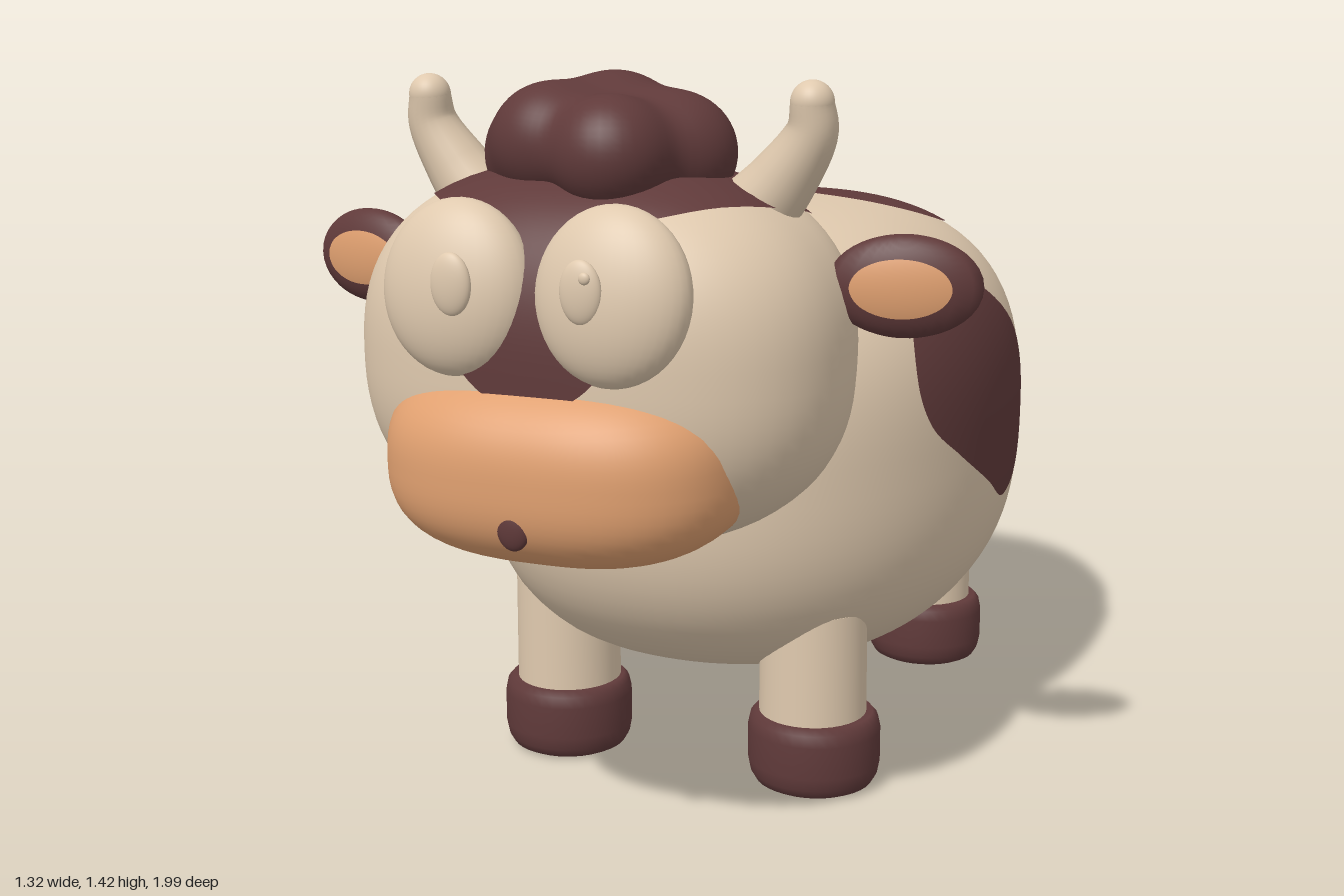
import * as THREE from 'three';

const V = (x, y, z) => new THREE.Vector3(x, y, z);
const X = V(1, 0, 0), Y = V(0, 1, 0), Z = V(0, 0, 1);
const paint = (name, color) => {
  const m = new THREE.MeshStandardMaterial({ color });
  m.name = name;
  return m;
};

// Rounded forms as rules: negative inside, positive outside
const pw = (v, n) => Math.pow(Math.abs(v), n);
const bodyRule = (p) => {
  const girth = pw(p.x / 0.545, 2.2) + pw((p.z + 0.16) / 0.71, 2.2);
  return pw(girth, 2.75 / 2.2) + pw((p.y - 0.65) / 0.48, 2.75) - 1;
};
const headRule = (p) => {
  const y = p.y - 0.925, z = p.z - 0.6;
  const depth = z > 0 ? 0.32 : 0.285 + 0.25 * y;
  return pw(p.x / 0.448, 2.5) + pw(y / 0.337, 2.5) + pw(z / depth, 2.5) - 1;
};
const snoutRule = (p) => {
  const y = p.y - 0.765 - 0.08 * (0.85 - p.z);
  return pw(p.x / 0.33, 2.7) + pw(y / 0.178, 2.7) + pw((p.z - 0.72) / 0.273, 2.7) - 1;
};
const earRule = (p) => pw(p.x / 0.135, 2) + pw(p.y / 0.09, 2) + pw(p.z / 0.042, 2) - 1;
const curls = [
  [0, 1.3, 0.57, 0.115], [-0.125, 1.27, 0.6, 0.105], [0.13, 1.28, 0.59, 0.105],
  [-0.02, 1.295, 0.5, 0.1], [0.07, 1.285, 0.73, 0.1], [-0.07, 1.3, 0.68, 0.1],
];
const hairRule = (p) =>
  1 - curls.reduce((s, [x, y, z, r]) => {
    const d2 = (p.x - x) ** 2 + (p.y - y) ** 2 + (p.z - z) ** 2;
    return s + Math.exp(-2.2 * (d2 / (r * r) - 1));
  }, 0);

// Point where a ray from inside leaves the form
function cast(rule, origin, dir) {
  let lo = 0, hi = 1.2;
  const p = V();
  for (let i = 0; i < 26; i++) {
    const mid = (lo + hi) / 2;
    p.copy(origin).addScaledVector(dir, mid);
    if (rule(p) < 0) lo = mid; else hi = mid;
  }
  return p.copy(origin).addScaledVector(dir, lo);
}
function normalAt(rule, p) {
  const e = 1e-3;
  const slope = (axis) =>
    rule(p.clone().addScaledVector(axis, e)) - rule(p.clone().addScaledVector(axis, -e));
  return V(slope(X), slope(Y), slope(Z)).normalize();
}

// Closed smooth skin of a form
function skin(rule, center, w = 80, h = 56) {
  const geo = new THREE.SphereGeometry(1, w, h);
  const pos = geo.attributes.position, nor = geo.attributes.normal;
  for (let i = 0; i < pos.count; i++) {
    const p = cast(rule, center, V().fromBufferAttribute(pos, i).normalize());
    const n = normalAt(rule, p);
    pos.setXYZ(i, p.x, p.y, p.z);
    nor.setXYZ(i, n.x, n.y, n.z);
  }
  return geo;
}

// Thin coloured patch: an outline in the plane of u and v, cast along dir onto a form
function patch(rule, origin, u, v, dir, outline) {
  const pts = outline.map(([a, b]) => new THREE.Vector3(a, b, 0));
  const loop = new THREE.CatmullRomCurve3(pts, true).getPoints(64).slice(0, 64);
  const flip = u.clone().cross(v).dot(dir) < 0;
  if (THREE.ShapeUtils.isClockWise(loop) !== flip) loop.reverse();
  const mid = loop.reduce((s, p) => s.add(p), V()).divideScalar(loop.length);
  const rings = 10, n = loop.length, pos = [], nor = [], idx = [];
  for (let r = 0; r <= rings; r++) {
    for (let i = 0; i < n; i++) {
      const q = mid.clone().lerp(loop[i], r / rings);
      const start = origin.clone().addScaledVector(u, q.x).addScaledVector(v, q.y);
      const p = cast(rule, start, dir);
      const normal = normalAt(rule, p);
      p.addScaledVector(normal, 0.004);
      pos.push(p.x, p.y, p.z);
      nor.push(normal.x, normal.y, normal.z);
      if (r === rings) continue;
      const a = r * n + i, b = r * n + ((i + 1) % n);
      idx.push(a, a + n, b + n, a, b + n, b);
    }
  }
  const geo = new THREE.BufferGeometry();
  geo.setAttribute('position', new THREE.Float32BufferAttribute(pos, 3));
  geo.setAttribute('normal', new THREE.Float32BufferAttribute(nor, 3));
  geo.setIndex(idx);
  return geo;
}
const oval = (cx, cy, rx, ry) =>
  Array.from({ length: 12 }, (_, i) => {
    const t = (i / 12) * Math.PI * 2;
    return [cx + rx * Math.cos(t), cy + ry * Math.sin(t)];
  });

// Tube that narrows from r0 to r1
function taper(points, r0, r1) {
  const curve = new THREE.CatmullRomCurve3(points), steps = 28, sides = 20;
  const geo = new THREE.TubeGeometry(curve, steps, 1, sides);
  const pos = geo.attributes.position;
  for (let i = 0; i < pos.count; i++) {
    const t = Math.floor(i / (sides + 1)) / steps, c = curve.getPointAt(t);
    const p = V().fromBufferAttribute(pos, i).sub(c).multiplyScalar(r0 + (r1 - r0) * t).add(c);
    pos.setXYZ(i, p.x, p.y, p.z);
  }
  return geo;
}

export function createModel() {
  const cream = paint('cream', 0xdfc9ae), brown = paint('brown', 0x603a3a), tan = paint('tan', 0xe0a070);
  const model = new THREE.Group();
  model.name = 'cow';
  const add = (name, geo, mat, parent = model) => {
    const mesh = new THREE.Mesh(geo, mat);
    mesh.name = name;
    parent.add(mesh);
    return mesh;
  };
  const ball = (name, mat, at, size) => {
    const mesh = add(name, new THREE.SphereGeometry(1, 36, 24), mat);
    mesh.position.set(...at);
    mesh.scale.set(...size);
    return mesh;
  };

  // Body and its spots
  add('body', skin(bodyRule, V(0, 0.65, -0.16), 96, 64), cream);
  const spot = (name, ...args) => add(name, patch(bodyRule, ...args), brown);
  const left = X, right = X.clone().negate(), origin = V(0, 0, 0), mid = V(0, 0.65, 0);
  spot('leftFlankSpot', origin, Z, Y, left, [
    [0.22, 0.82], [0.17, 0.94], [-0.02, 1.02], [-0.18, 0.95], [-0.34, 0.835], [-0.38, 0.71],
    [-0.31, 0.55], [-0.18, 0.51], [-0.045, 0.575], [0.1, 0.66], [0.195, 0.735]]);
  spot('leftHipSpot', origin, Z, Y, left, [
    [-0.38, 0.42], [-0.4, 0.52], [-0.5, 0.58], [-0.61, 0.55], [-0.67, 0.46], [-0.64, 0.37],
    [-0.54, 0.3], [-0.43, 0.31]]);
  spot('rightFlankSpot', origin, Z, Y, right, [
    [-0.63, 0.89], [-0.54, 0.99], [-0.32, 0.95], [-0.14, 0.83], [-0.11, 0.63], [-0.22, 0.48],
    [-0.37, 0.44], [-0.51, 0.55], [-0.59, 0.74]]);
  spot('backSpot', mid, X, Z, Y, [
    [-0.195, -0.61], [-0.115, -0.685], [0.03, -0.675], [0.15, -0.58], [0.295, -0.5], [0.34, -0.37],
    [0.27, -0.24], [0.14, -0.2], [0.02, -0.26], [-0.045, -0.38], [-0.15, -0.495]]);
  spot('rightShoulderSpot', mid, X, Z, Y, [
    [-0.515, -0.05], [-0.47, -0.115], [-0.39, -0.105], [-0.34, 0.03], [-0.34, 0.13], [-0.4, 0.2],
    [-0.47, 0.14], [-0.515, 0.05]]);
  spot('leftRumpSpot', V(0.09, 0.78, -0.547), V(0.81, 0, 0.59), Y, V(0.59, 0, -0.81),
    oval(-0.01, 0, 0.155, 0.18));
  spot('rightRumpSpot', V(-0.07, 0.48, -0.525), V(0.85, 0, -0.53), Y, V(-0.53, 0, -0.85),
    oval(0, 0, 0.145, 0.125));

  // Head, brown cap and blaze, snout, mouth, hair
  add('head', skin(headRule, V(0, 0.925, 0.6)), cream);
  add('headCap', patch(headRule, V(0, 1.05, 0), X, Z, Y, [
    [0, 0.305], [0.24, 0.34], [0.33, 0.45], [0.33, 0.6], [0.28, 0.72], [0.17, 0.82], [0, 0.84],
    [-0.17, 0.82], [-0.28, 0.72], [-0.33, 0.6], [-0.33, 0.45], [-0.24, 0.34]]), brown);
  add('blaze', patch(headRule, V(0, 0, 0.6), X, Y, Z, [
    [-0.14, 1.19], [0, 1.21], [0.14, 1.19], [0.16, 1.05], [0.12, 0.93], [0, 0.87],
    [-0.12, 0.93], [-0.16, 1.05]]), brown);
  add('snout', skin(snoutRule, V(0, 0.765, 0.72)), tan);
  ball('mouth', brown, [0, 0.69, 0.978], [0.03, 0.038, 0.014]);
  add('hair', skin(hairRule, V(0, 1.28, 0.6)), brown);

  for (const [side, s] of [['left', 1], ['right', -1]]) {
    // Eyes
    ball(side + 'Eye', cream, [s * 0.143, 1.07, 0.885], [0.138, 0.15, 0.07]).rotation.x = -0.14;
    ball(side + 'Pupil', cream, [s * 0.118, 1.085, 0.952], [0.037, 0.053, 0.016]);

    // Ears with a tan inside
    const ear = new THREE.Group();
    ear.name = side + 'Ear';
    ear.position.set(s * 0.53, 1.06, 0.54);
    ear.rotation.y = s * 0.22;
    model.add(ear);
    add('earShell', skin(earRule, V(0, 0, 0), 36, 24), brown, ear);
    add('earInside', patch(earRule, V(0, 0, 0), X, Y, Z, oval(-s * 0.005, 0, 0.087, 0.05)), tan, ear);

    // Horns
    const path = [V(s * 0.25, 1.16, 0.575), V(s * 0.32, 1.24, 0.57), V(s * 0.37, 1.32, 0.57), V(s * 0.372, 1.37, 0.575)];
    add(side + 'Horn', taper(path, 0.075, 0.038), cream);
    ball(side + 'HornTip', cream, [s * 0.372, 1.37, 0.575], [0.038, 0.038, 0.038]);

    // Legs and hooves
    for (const [end, z] of [['Front', 0.257], ['Rear', -0.545]]) {
      add(side + end + 'Leg', new THREE.CylinderGeometry(0.106, 0.108, 0.24, 36), cream)
        .position.set(s * 0.272, 0.25, z);
      const profile = [[0, 0], [0.105, 0], [0.119, 0.007], [0.129, 0.024], [0.134, 0.05], [0.134, 0.115],
        [0.129, 0.138], [0.118, 0.15], [0, 0.15]].map(([r, y]) => new THREE.Vector2(r, y));
      const hoof = add(side + end + 'Hoof', new THREE.LatheGeometry(profile, 36), brown);
      hoof.position.set(s * 0.275, 0, z);
      hoof.scale.z = 0.95;
    }
  }
  ball('eyeGlint', cream, [0.132, 1.11, 0.967], [0.01, 0.01, 0.006]);

  // Tail
  add('tail', taper([V(0, 0.96, -0.73), V(0, 0.975, -0.8), V(0, 0.93, -0.885), V(0, 0.8, -0.935),
    V(0, 0.63, -0.945), V(0, 0.48, -0.93)], 0.033, 0.025), cream);
  ball('tailTuft', brown, [0, 0.455, -0.925], [0.072, 0.095, 0.075]);
  return model;
}
